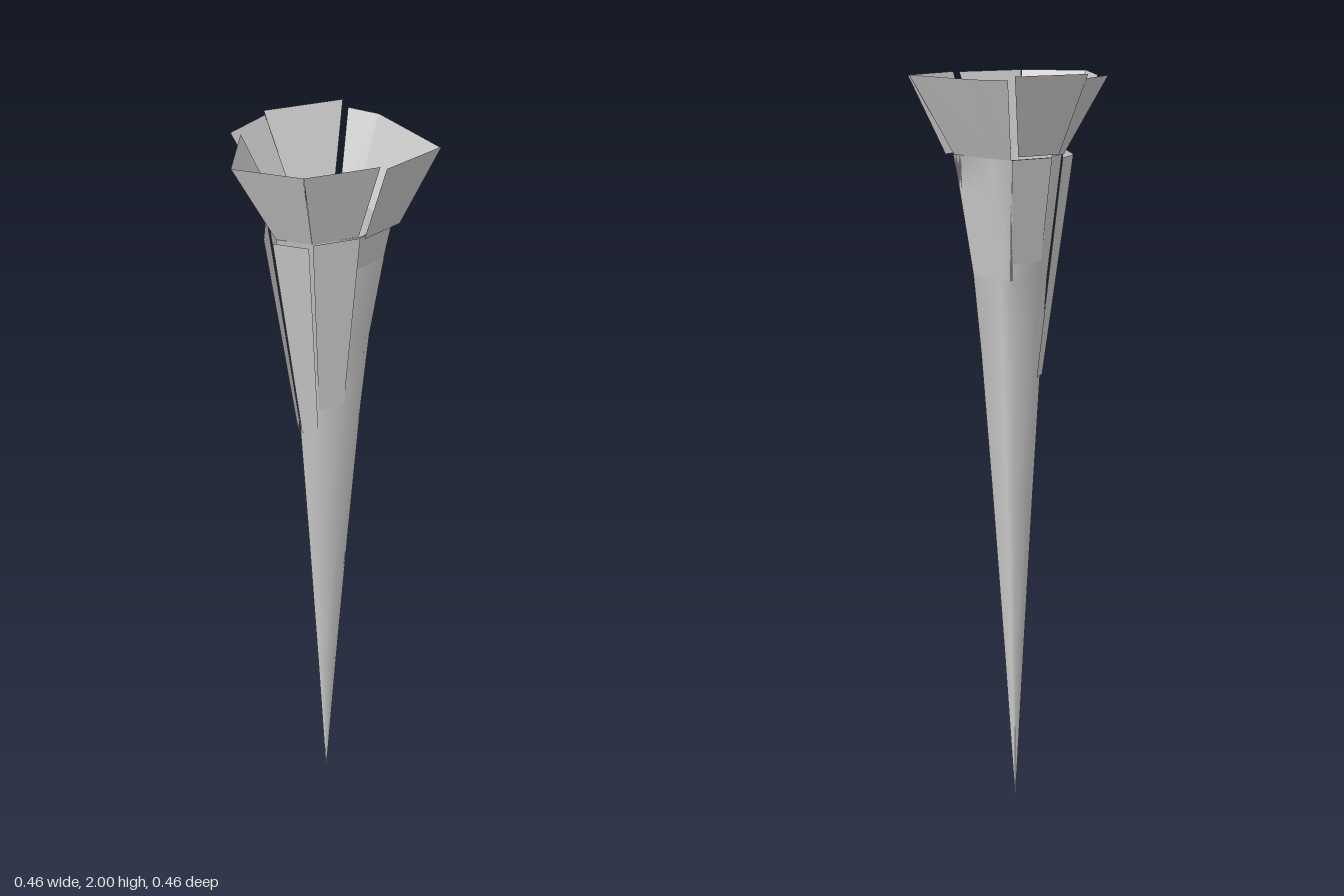
import * as THREE from 'three';

const flat = new THREE.MeshStandardMaterial({ color: 0xcccccc, side: THREE.DoubleSide, flatShading: true });
const smooth = new THREE.MeshStandardMaterial({ color: 0xcccccc, side: THREE.DoubleSide });

// Irregular eight-sided rim (x, z) at the top of the spike
const RIM = [[-0.12, -0.048], [-0.05, -0.138], [0, -0.132], [0.127, -0.065],
  [0.1, 0.04], [0.025, 0.126], [-0.06, 0.143], [-0.122, 0.03]];
const RIM_Y = 1.8;
const TIP_X = -0.012;

// Mesh from point positions and triangle indices
function surface(name, points, index, material) {
  const g = new THREE.BufferGeometry();
  g.setAttribute('position', new THREE.Float32BufferAttribute(points.flat(), 3));
  g.setIndex(index);
  g.computeVertexNormals();
  const mesh = new THREE.Mesh(g, material);
  mesh.name = name;
  return mesh;
}

const quad = (name, a, b, c, d) => surface(name, [a, b, c, d], [0, 2, 1, 0, 3, 2], flat);

// Rim point scaled towards the axis of the spike
const rimPoint = (i, scale, y) => {
  const [x, z] = RIM[i % 8];
  return [TIP_X + (x - TIP_X) * scale, y, z * scale];
};

// Long hollow spike, lofted from scaled copies of the rim
function createSpike() {
  const levels = [[0, 0.002], [0.45, 0.19], [0.9, 0.39], [1.3, 0.58], [1.5, 0.7], [RIM_Y, 1]];
  const points = [], index = [];
  levels.forEach(([y, scale], r) => {
    for (let i = 0; i < 8; i++) {
      points.push(rimPoint(i, scale, y));
      if (r === 0) continue;
      const a = (r - 1) * 8 + i, b = (r - 1) * 8 + (i + 1) % 8;
      index.push(a, a + 8, b, b, a + 8, b + 8);
    }
  });
  return surface('spike', points, index, smooth);
}

// Flat tapering petals around the upper spike: [outward push, lower edge height]
function createPetals() {
  const group = new THREE.Group();
  group.name = 'petals';
  const specs = [[0.005, 1.35], [0, 1.3], [0, 1.3], [0.003, 1.4],
    [0.006, 1.25], [0.022, 1.25], [0.028, 1.24], [0.03, 1.24]];
  specs.forEach(([push, y], i) => {
    const [p, q] = [RIM[i], RIM[(i + 1) % 8]];
    const n = new THREE.Vector2(q[1] - p[1], p[0] - q[0]).normalize();
    if (n.x * (p[0] + q[0]) + n.y * (p[1] + q[1]) < 0) n.negate();
    const corner = (k, scale, h, d) => {
      const v = rimPoint(k, scale, h);
      return [v[0] + n.x * d, h, v[2] + n.y * d];
    };
    group.add(quad('petal', corner(i, 0.5, y, push * 0.4), corner(i + 1, 0.5, y, push * 0.4),
      corner(i + 1, 1, RIM_Y, push), corner(i, 1, RIM_Y, push)));
  });
  return group;
}

// Flared collar of slightly displaced plates: lower pair, upper pair (x, z), lift
function createCollar() {
  const group = new THREE.Group();
  group.name = 'collar';
  const plates = [
    [[-0.147, -0.069], [-0.075, -0.157], [-0.093, -0.23], [-0.22, -0.077], 0.01],
    [[-0.05, -0.138], [0, -0.132], [0.013, -0.214], [-0.07, -0.214], 0],
    [[0, -0.132], [0.127, -0.065], [0.225, -0.105], [0.013, -0.214], 0],
    [[0.147, -0.07], [0.115, 0.043], [0.177, 0.06], [0.227, -0.11], 0],
    [[0.098, 0.04], [0.026, 0.127], [0.044, 0.193], [0.16, 0.058], 0],
    [[0.025, 0.126], [-0.06, 0.143], [-0.12, 0.227], [0.043, 0.193], 0],
    [[-0.06, 0.143], [-0.11, 0.03], [-0.205, 0.05], [-0.12, 0.227], 0],
    [[-0.127, 0.03], [-0.12, -0.048], [-0.217, -0.077], [-0.23, 0.055], 0],
  ];
  for (const [a, b, c, d, lift] of plates) {
    const at = ([x, z], y) => [x, y + lift, z];
    group.add(quad('collarPlate', at(a, RIM_Y), at(b, RIM_Y), at(c, 1.99), at(d, 1.99)));
  }
  return group;
}

export function createModel() {
  const model = new THREE.Group();
  model.name = 'flaredSpike';
  model.add(createSpike(), createPetals(), createCollar());
  return model;
}
